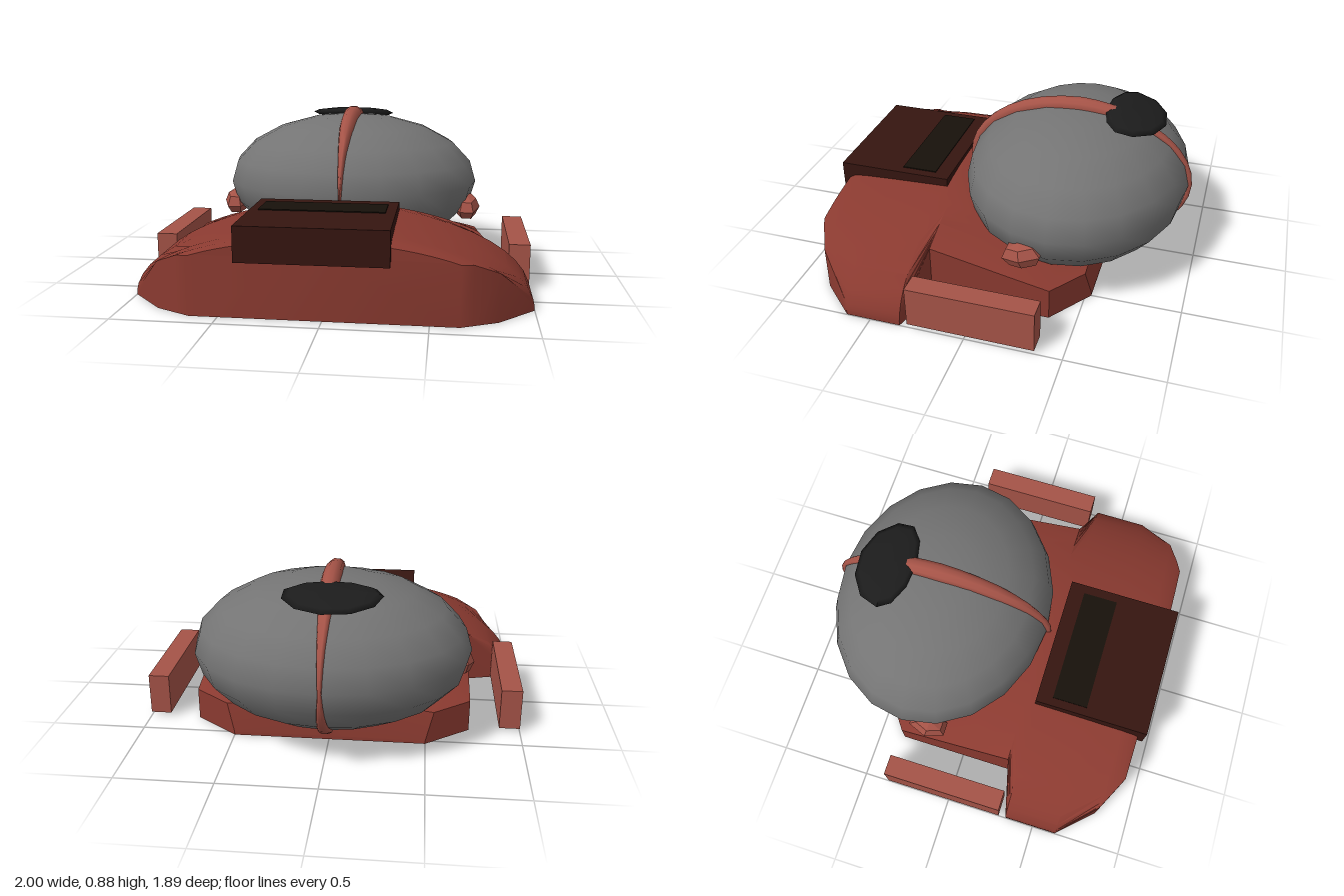
import * as THREE from 'three';
import { toCreasedNormals } from 'three/addons/utils/BufferGeometryUtils.js';

const mat = (color, flatShading = false) => new THREE.MeshStandardMaterial({ color, flatShading });
const RED = 0x8a3a30, LIGHT_RED = 0xa55347, BROWN = 0x351510, BLACK = 0x1c1c1c, GREY = 0x747474;

// Joins equal-sized loops of points into a capped, outward-facing skin
function skin(loops, crease) {
  const pos = [], n = loops[0].length;
  const tri = (...p) => p.forEach(v => pos.push(v.x, v.y, v.z));
  const centre = l => l.reduce((s, p) => s.add(p), new THREE.Vector3()).divideScalar(n);
  loops.forEach((loop, k) => {
    const next = loops[k + 1];
    for (let i = 0; i < n; i++) {
      const j = (i + 1) % n;
      if (k === 0) tri(centre(loop), loop[j], loop[i]);
      if (next) {
        tri(loop[i], loop[j], next[i]);
        tri(loop[j], next[j], next[i]);
      } else tri(centre(loop), loop[i], loop[j]);
    }
  });
  const g = new THREE.BufferGeometry();
  g.setAttribute('position', new THREE.Float32BufferAttribute(pos, 3));
  return toCreasedNormals(g, crease);
}

// Arched body: [z, half width, crown height] from front to back
function bodyGeometry() {
  const sections = [
    [0.91, 0.64, 0.385], [0.88, 0.70, 0.405], [0.82, 0.82, 0.415], [0.63, 0.998, 0.425],
    [0.34, 0.998, 0.435], [0.27, 0.73, 0.435], [0.05, 0.73, 0.37], [-0.15, 0.73, 0.31],
    [-0.36, 0.73, 0.25], [-0.5, 0.54, 0.2], [-0.53, 0.5, 0.02],
  ];
  const steps = 24;
  return skin(sections.map(([z, w, h]) => {
    const loop = [new THREE.Vector3(-w, 0, z)];
    for (let i = 0; i <= steps; i++) {
      const x = -w * Math.cos(Math.PI * i / steps);
      loop.push(new THREE.Vector3(x, h * Math.sqrt(1 - x * x), z));
    }
    loop.push(new THREE.Vector3(w, 0, z));
    return loop;
  }), 0.6);
}

// Crest: a tapering band around the dome's middle, [angle in degrees, half width, rise]
function crestGeometry() {
  const keys = [
    [-15, 0.005, 0.02], [0, 0.008, 0.028], [30, 0.02, 0.035], [60, 0.04, 0.042], [90, 0.05, 0.045],
    [112, 0.045, 0.035], [130, 0.03, 0.02], [150, 0.02, 0.02], [180, 0.01, 0.02],
    [210, 0.025, 0.02], [235, 0.038, 0.025], [250, 0.03, 0.01],
  ];
  const loops = [];
  keys.forEach(([a, w, r], k) => {
    const [a2, w2, r2] = keys[k + 1] || [a, w, r];
    const parts = k < keys.length - 1 ? 3 : 1;
    for (let s = 0; s < parts; s++) {
      const mix = THREE.MathUtils.lerp, t = s / parts;
      const angle = THREE.MathUtils.degToRad(mix(a, a2, t));
      const half = mix(w, w2, t), rise = mix(r, r2, t);
      const loop = [];
      for (let i = 0; i < 10; i++) {
        const q = i / 10 * Math.PI * 2;
        const out = rise * Math.sin(q) - 0.003;
        loop.push(new THREE.Vector3(-half * Math.cos(q),
          0.455 + (0.39 + out) * Math.sin(angle), -0.33 + (0.6 + out) * Math.cos(angle)));
      }
      loops.push(loop);
    }
  });
  return skin(loops, 1.2);
}

// Flattened dark cap, longer toward the back
function patchGeometry() {
  const g = new THREE.SphereGeometry(1, 11, 6);
  const p = g.attributes.position;
  for (let i = 0; i < p.count; i++) {
    const z = p.getZ(i);
    p.setXYZ(i, p.getX(i) * 0.25, p.getY(i) * 0.03, z * (z < 0 ? 0.2 : 0.125));
  }
  g.computeVertexNormals();
  return g;
}

export function createModel() {
  const model = new THREE.Group();
  const add = (name, geometry, material, x = 0, y = 0, z = 0) => {
    const mesh = new THREE.Mesh(geometry, material);
    mesh.name = name;
    mesh.position.set(x, y, z);
    model.add(mesh);
    return mesh;
  };

  add('body', bodyGeometry(), mat(RED));

  // Rounded dome and its trim
  add('dome', new THREE.SphereGeometry(1, 20, 10), mat(GREY), 0, 0.455, -0.33).scale.set(0.725, 0.39, 0.6);
  add('crest', crestGeometry(), mat(LIGHT_RED));
  add('topPatch', patchGeometry(), mat(BLACK), -0.025, 0.825, -0.585).rotation.x = -0.15;

  // Front panel with its inset
  add('frontPanel', new THREE.BoxGeometry(0.73, 0.175, 0.62), mat(BROWN), -0.045, 0.3675, 0.635);
  add('panelInset', new THREE.BoxGeometry(0.635, 0.02, 0.19), mat(0x17110a), -0.0475, 0.45, 0.505);

  // Side bars and small knobs, mirrored
  for (const [side, s] of [['left', 1], ['right', -1]]) {
    add(side + 'Bar', new THREE.BoxGeometry(0.11, 0.22, 0.66), mat(LIGHT_RED), s * 0.945, 0.13, -0.03);
    const knob = add(side + 'Knob', new THREE.SphereGeometry(1, 6, 4), mat(LIGHT_RED, true), s * 0.675, 0.33, -0.205);
    knob.scale.set(0.075, 0.07, 0.115);
    knob.rotation.x = 0.2;
  }
  return model;
}
